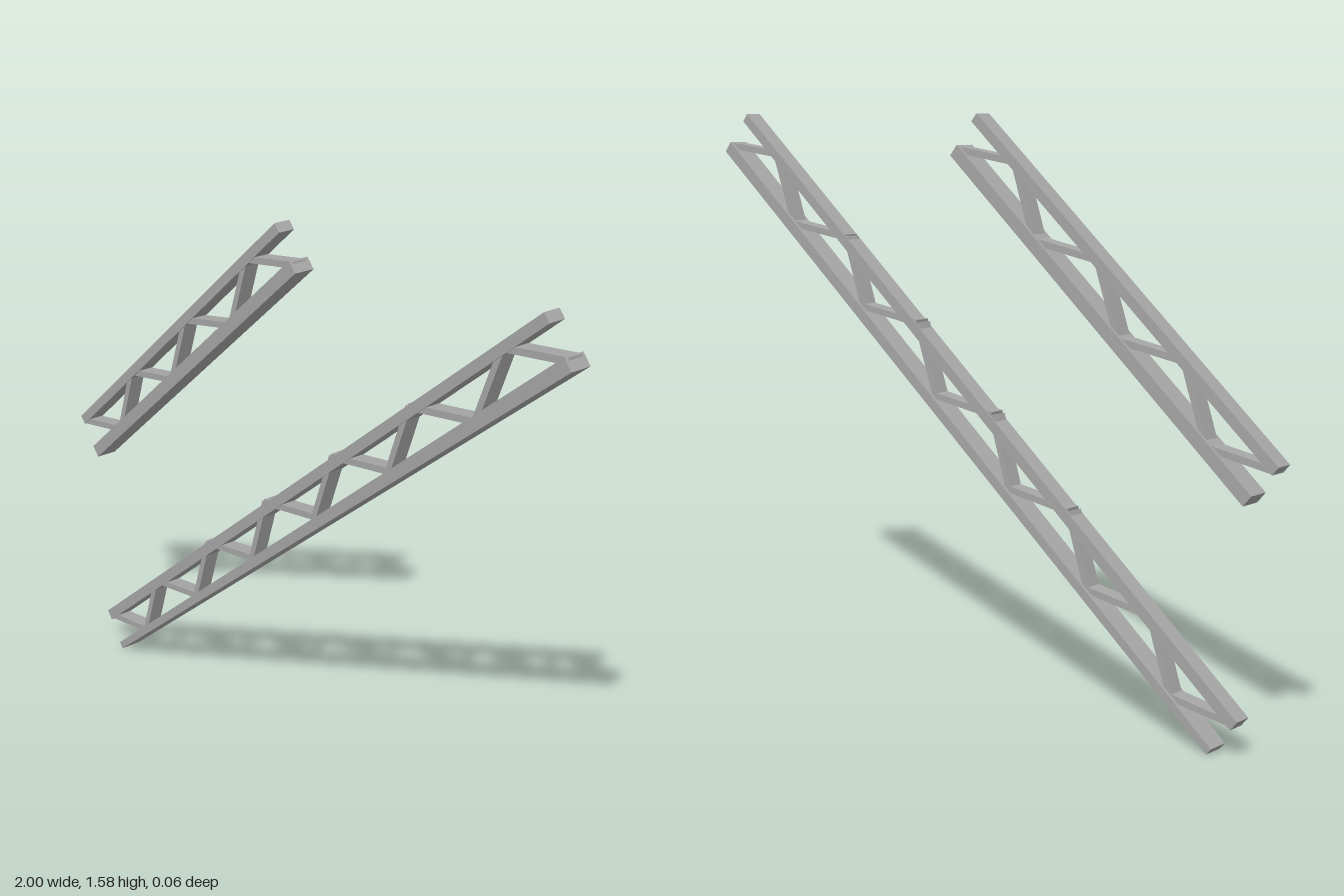
import * as THREE from 'three';

const steel = new THREE.MeshStandardMaterial({ color: 0xa6a6a6 });
steel.name = 'steel grey';

// Straight bar in the XY plane from a to b, with a thickness at each end and a depth along z
function bar(name, a, b, t0, t1, depth) {
  const p = new THREE.Vector2(...a), q = new THREE.Vector2(...b);
  const d = q.clone().sub(p).normalize();
  const n = new THREE.Vector2(-d.y, d.x);
  const at = (o, k) => o.clone().addScaledVector(n, k / 2);
  const shape = new THREE.Shape([at(p, -t0), at(q, -t1), at(q, t1), at(p, t0)]);
  const geo = new THREE.ExtrudeGeometry(shape, { depth, bevelEnabled: false });
  geo.translate(0, 0, -depth / 2);
  const mesh = new THREE.Mesh(geo, steel);
  mesh.name = name;
  return mesh;
}

// Two chords joined by a zigzag of web bars
function truss(name, upper, lower, nodes) {
  const group = new THREE.Group();
  group.name = name;
  group.add(bar('upperChord', ...upper, 0.05));
  group.add(bar('lowerChord', ...lower, 0.062));
  for (let i = 0; i < nodes.length - 1; i++) {
    group.add(bar('webBar', nodes[i], nodes[i + 1], 0.018, 0.018, 0.044));
  }
  return group;
}

export function createModel() {
  const model = new THREE.Group();
  model.name = 'trussPair';

  model.add(truss('shortTruss',
    [[-0.99, 0.743], [-0.024, 1.57], 0.028, 0.028],
    [[-0.917, 0.661], [0.045, 1.483], 0.037, 0.037],
    [[-0.985, 0.742], [-0.787, 0.775], [-0.717, 0.98], [-0.512, 1.014],
      [-0.442, 1.213], [-0.23, 1.252], [-0.162, 1.455], [0.04, 1.485]]));

  model.add(truss('longTruss',
    [[-0.89, 0.09], [0.91, 1.57], 0.032, 0.028],
    [[-0.822, 0.009], [0.985, 1.483], 0.022, 0.037],
    [[-0.88, 0.093], [-0.692, 0.12], [-0.626, 0.318], [-0.42, 0.35],
      [-0.355, 0.549], [-0.147, 0.58], [-0.086, 0.775], [0.125, 0.806],
      [0.195, 1.004], [0.41, 1.035], [0.478, 1.229], [0.703, 1.26],
      [0.778, 1.463], [0.98, 1.487]]));

  return model;
}
